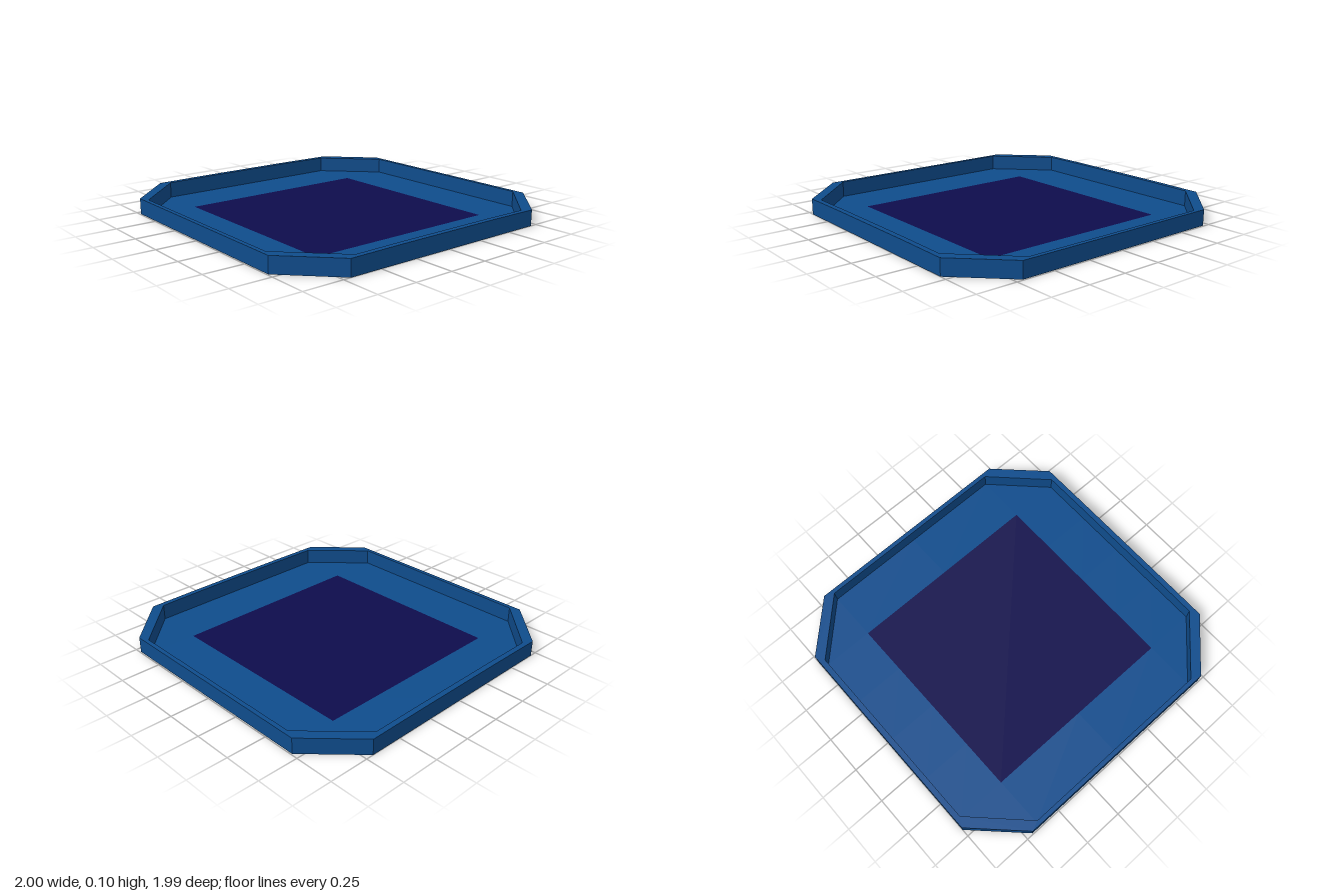
import * as THREE from 'three';

export function createModel() {
  const group = new THREE.Group();
  const blue = new THREE.MeshStandardMaterial({ color: 0x0f4c8c, side: THREE.DoubleSide, flatShading: true });
  blue.name = 'blue';
  const navy = new THREE.MeshStandardMaterial({ color: 0x0e0c4c, side: THREE.DoubleSide, flatShading: true });
  navy.name = 'darkNavy';

  const H = 0.1;        // rim height
  const RAISED = 0.103; // rim height along the middle of the left and right sides
  const IN = 0.965;     // inner wall distance
  const C = 0.645;      // half size of the centre field

  // One quarter of the rim plan: outer x, outer z, inner x, inner z, top height
  const quarter = [
    [1, 0.345, IN, 0.325, RAISED],
    [1, 0.703, IN, C, H],
    [0.706, 0.993, C, IN, H],
  ];
  const turn = (sx, sz) => quarter.map(([a, b, c, d, h]) => [a * sx, b * sz, c * sx, d * sz, h]);
  const ring = [
    ...turn(1, 1), ...turn(-1, 1).reverse(),
    ...turn(-1, -1), ...turn(1, -1).reverse(),
  ];

  // Hollow rim, open underneath: outer wall, top face and inner wall
  const layers = [
    ([x, z]) => [x, 0, z],
    ([x, z, , , h]) => [x, h, z],
    ([, , x, z, h]) => [x, h, z],
    ([, , x, z]) => [x, 0, z],
  ];
  ['outerWall', 'rimTop', 'innerWall'].forEach((name, k) => {
    const pos = [];
    ring.forEach((p, i) => {
      const q = ring[(i + 1) % ring.length];
      const a = layers[k](p), b = layers[k + 1](p);
      const c = layers[k + 1](q), d = layers[k](q);
      pos.push(...a, ...b, ...c, ...a, ...c, ...d);
    });
    const geo = new THREE.BufferGeometry();
    geo.setAttribute('position', new THREE.Float32BufferAttribute(pos, 3));
    geo.computeVertexNormals();
    const mesh = new THREE.Mesh(geo, blue);
    mesh.name = name;
    group.add(mesh);
  });

  // Flat floor pieces given as x, z outlines
  const addPanel = (name, points, material) => {
    const shape = new THREE.Shape(points.map(([x, z]) => new THREE.Vector2(x, -z)));
    const mesh = new THREE.Mesh(new THREE.ShapeGeometry(shape).rotateX(-Math.PI / 2), material);
    mesh.name = name;
    group.add(mesh);
  };
  const addRect = (name, x0, x1, z0, z1, material) =>
    addPanel(name, [[x0, z0], [x1, z0], [x1, z1], [x0, z1]], material);

  addRect('centreField', -C, C, -C, C, navy);

  for (const s of [-1, 1]) {
    // Four panels along each side
    const steps = [-C, -0.325, 0, 0.325, C];
    for (let i = 0; i < 4; i++) addRect('sidePanel', s * C, s * IN, steps[i], steps[i + 1], blue);
    for (const t of [-1, 1]) {
      // Two panels at each end, and a triangle in each corner
      addRect('endPanel', 0, t * C, s * C, s * IN, blue);
      addPanel('cornerPanel', [[t * C, s * C], [t * IN, s * C], [t * C, s * IN]], blue);
    }
  }
  return group;
}
